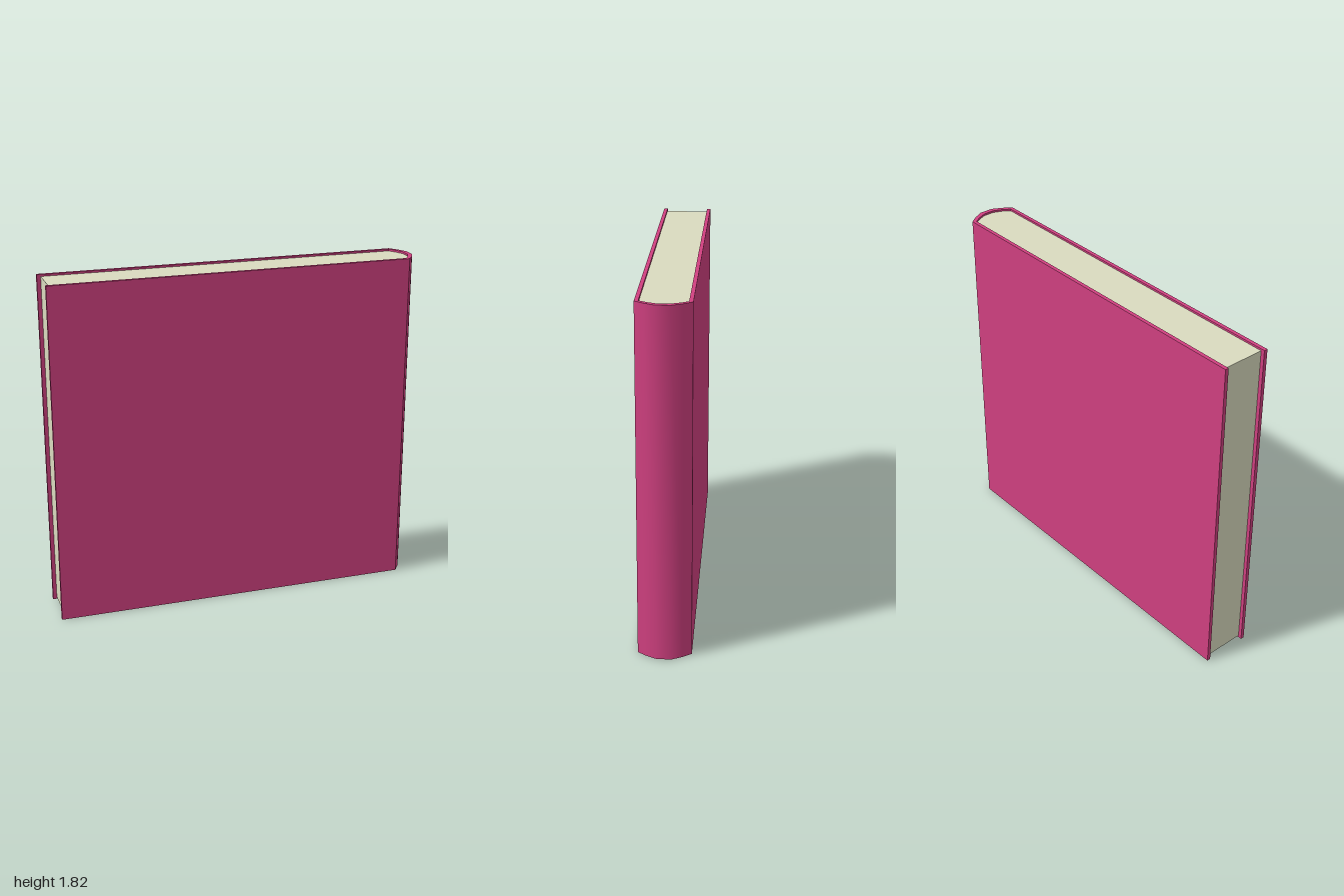
import * as THREE from 'three';
import { toCreasedNormals } from 'three/addons/utils/BufferGeometryUtils.js';

const HEIGHT = 1.82;
const PAGE_INSET = 0.01;

// Half outlines [x, z] from the fore-edge round to the middle of the spine
const outer = [[-1, 0.135], [0.94, 0.135], [0.973, 0.09], [1, 0.037]];
const inner = [[-1, 0.115], [0.93, 0.115], [0.955, 0.077], [0.975, 0.03]];
const pageEdge = [[-0.98, 0.115], ...inner.slice(1)];

// Complete a half outline by mirroring it across z = 0
const mirrored = (half) => [...half, ...half.map(([x, z]) => [x, -z]).reverse()];

// Stand an outline up as a prism between two heights
function prism(name, outline, bottom, top, color) {
  const shape = new THREE.Shape(outline.map(([x, z]) => new THREE.Vector2(x, z)));
  const extruded = new THREE.ExtrudeGeometry(shape, { depth: top - bottom, bevelEnabled: false });
  extruded.rotateX(-Math.PI / 2).translate(0, bottom, 0);
  // Smooth round the spine, sharp where it meets the boards
  const mesh = new THREE.Mesh(
    toCreasedNormals(extruded, 0.7),
    new THREE.MeshStandardMaterial({ color })
  );
  mesh.name = name;
  return mesh;
}

export function createModel() {
  const book = new THREE.Group();
  book.name = 'book';

  // Cover: two boards joined by the rounded spine
  const coverOutline = [...mirrored(outer), ...mirrored(inner).reverse()];
  book.add(prism('cover', coverOutline, 0, HEIGHT, 0xd04080));

  // Page block, set slightly inside the cover
  book.add(prism('pages', mirrored(pageEdge), PAGE_INSET, HEIGHT - PAGE_INSET, 0xdadbbf));

  return book;
}
